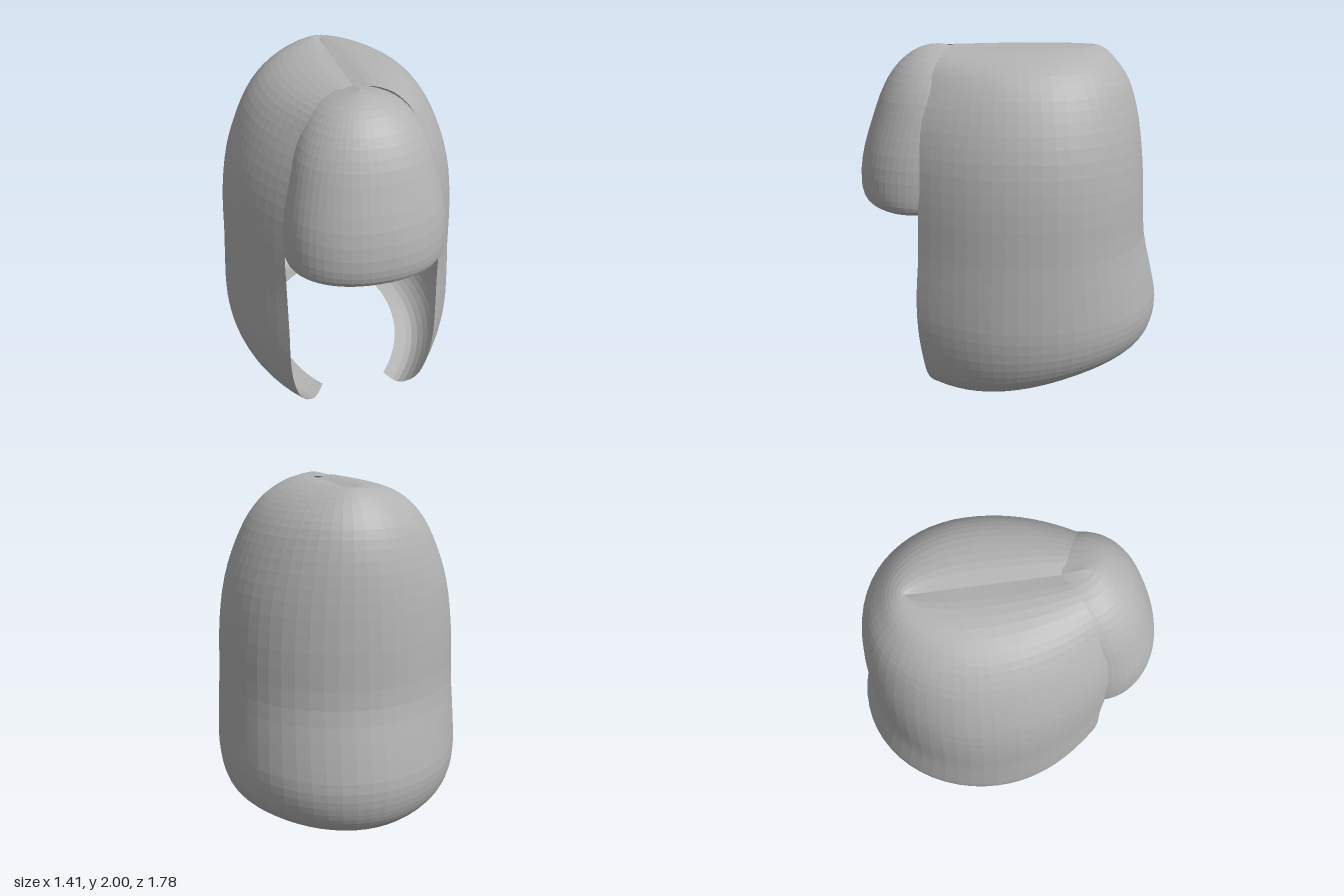
import * as THREE from 'three';

// Skin a surface over key sections (bottom to top), smoothing each column with a spline.
function loft(sections, rows) {
  const cols = sections[0].length;
  const pos = [], index = [];
  for (let c = 0; c < cols; c++) {
    const curve = new THREE.CatmullRomCurve3(sections.map(s => s[c]), false, 'centripetal');
    for (let r = 0; r <= rows; r++) pos.push(...curve.getPoint(r / rows).toArray());
  }
  for (let c = 0; c < cols - 1; c++) {
    for (let r = 0; r < rows; r++) {
      const a = c * (rows + 1) + r, b = a + rows + 1;
      index.push(a, b, a + 1, b, b + 1, a + 1);
    }
  }
  const g = new THREE.BufferGeometry();
  g.setAttribute('position', new THREE.Float32BufferAttribute(pos, 3));
  g.setIndex(index);
  const flat = g.toNonIndexed();
  flat.computeVertexNormals();
  return flat;
}

// Horseshoe section: left front edge, round the back, to the right front edge.
function horseshoe([yFront, yBack, width, zBack, edgeX, edgeZ]) {
  const zMid = Math.min(-0.1, edgeZ), front = 10, back = 14;
  const half = [];
  for (let i = 0; i < front; i++) {
    const t = 1 - i / front;
    half.push([edgeX + (width - edgeX) * (1 - t ** 2.1), zMid + (edgeZ - zMid) * t]);
  }
  for (let i = 0; i <= back; i++) {
    const a = (i / back) * Math.PI / 2;
    half.push([width * Math.cos(a), zMid + (zBack - zMid) * Math.sin(a)]);
  }
  const points = half.map(([x, z]) => {
    const t = Math.max(0, (edgeZ - z) / (edgeZ - zBack)) ** 0.85;
    const y = yFront + (yBack - yFront) * THREE.MathUtils.smoothstep(t, 0, 1);
    return new THREE.Vector3(x, y, z);
  });
  const mirrored = points.slice(0, -1).reverse().map(p => new THREE.Vector3(-p.x, p.y, p.z));
  return points.concat(mirrored);
}

// Bowed section of the fringe, from the right edge round the front to the left edge.
function bow([y, halfWidth, zEdge, zFront]) {
  const n = 28, points = [];
  for (let i = 0; i <= n; i++) {
    const a = Math.PI * (1 - i / n);
    const c = Math.cos(a), s = Math.sin(a);
    points.push(new THREE.Vector3(
      halfWidth * Math.sign(c) * Math.abs(c) ** 0.92,
      y - 0.02 * (1 - s) * THREE.MathUtils.smoothstep(y, 1.8, 2),
      zEdge + (zFront - zEdge) * s ** 0.95));
  }
  return points;
}

export function createModel() {
  const group = new THREE.Group();
  group.name = 'hair';
  const grey = new THREE.MeshStandardMaterial({ color: 0xb2b2b2, side: THREE.DoubleSide, flatShading: true });
  grey.name = 'hairGrey';

  // Main hair: yFront, yBack, half width, zBack, front edge x, front edge z
  const mainRows = [
    [0.02, 0.19, 0.40, -0.62, 0.20, 0.38],
    [0.00, 0.185, 0.52, -0.76, 0.27, 0.46],
    [0.09, 0.25, 0.62, -0.83, 0.36, 0.53],
    [0.25, 0.34, 0.68, -0.87, 0.41, 0.56],
    [0.45, 0.47, 0.705, -0.885, 0.43, 0.58],
    [0.65, 0.65, 0.70, -0.85, 0.43, 0.58],
    [0.90, 0.90, 0.685, -0.79, 0.43, 0.56],
    [1.20, 1.20, 0.67, -0.77, 0.43, 0.55],
    [1.45, 1.45, 0.63, -0.745, 0.41, 0.54],
    [1.65, 1.65, 0.56, -0.71, 0.37, 0.51],
    [1.80, 1.80, 0.48, -0.66, 0.31, 0.47],
    [1.90, 1.90, 0.385, -0.59, 0.25, 0.44],
    [1.96, 1.96, 0.27, -0.53, 0.18, 0.40],
    [1.985, 1.985, 0.12, -0.47, 0.09, 0.36],
    [1.97, 1.97, 0, -0.43, 0, 0.31], // parting line
  ];
  const main = new THREE.Mesh(loft(mainRows.map(horseshoe), 42), grey);
  main.name = 'mainHair';
  group.add(main);

  // Fringe: y, half width, z at the sides, z at the front
  const fringeRows = [
    [1.15, 0.36, 0.53, 0.74],
    [1.12, 0.40, 0.54, 0.82],
    [1.15, 0.425, 0.54, 0.87],
    [1.23, 0.435, 0.53, 0.89],
    [1.40, 0.425, 0.52, 0.87],
    [1.60, 0.385, 0.49, 0.805],
    [1.75, 0.34, 0.46, 0.745],
    [1.87, 0.275, 0.42, 0.67],
    [1.95, 0.20, 0.38, 0.58],
    [1.99, 0.10, 0.34, 0.49],
    [2.00, 0, 0.31, 0.41],
  ];
  const fringe = new THREE.Mesh(loft(fringeRows.map(bow), 26), grey);
  fringe.name = 'fringe';
  group.add(fringe);

  return group;
}
